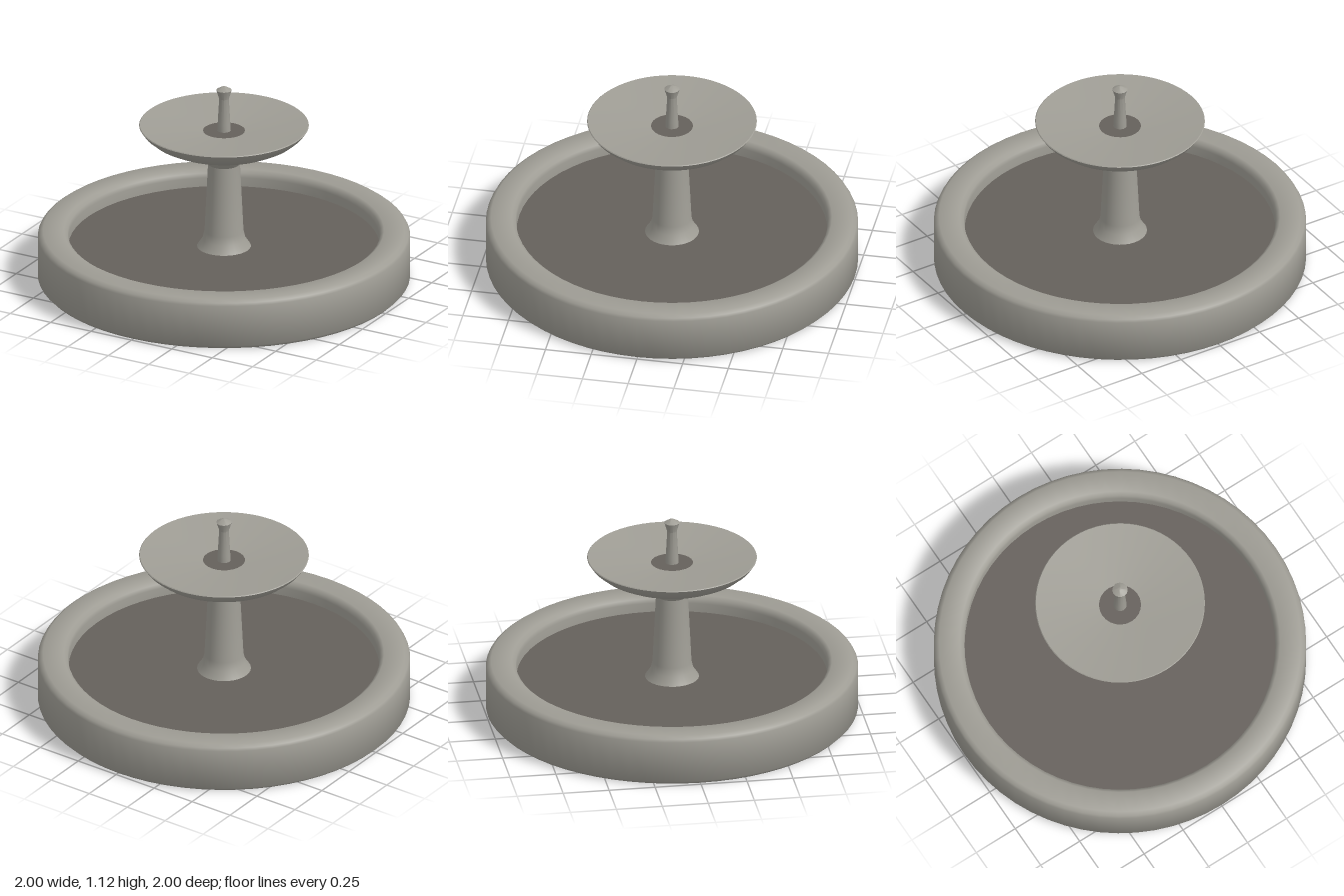
import * as THREE from 'three';
import { toCreasedNormals } from 'three/addons/utils/BufferGeometryUtils.js';

const SEGMENTS = 64;

// Turned part: [radius, height] pairs running from the bottom, up the outside and back inward
function turned(name, profile, material, crease = 0.9, segments = SEGMENTS) {
  const points = profile.map(([r, y]) => new THREE.Vector2(r, y));
  const geometry = toCreasedNormals(new THREE.LatheGeometry(points, segments), crease);
  const mesh = new THREE.Mesh(geometry, material);
  mesh.name = name;
  return mesh;
}

// Flat water surface facing up
function waterDisc(name, radius, y, material, segments) {
  const geometry = new THREE.CircleGeometry(radius, segments).rotateX(-Math.PI / 2);
  const mesh = new THREE.Mesh(geometry, material);
  mesh.position.y = y;
  mesh.name = name;
  return mesh;
}

export function createModel() {
  const stone = new THREE.MeshStandardMaterial({ color: 0x9f9d95 });
  stone.name = 'stone';
  const water = new THREE.MeshStandardMaterial({ color: 0x65605b });
  water.name = 'dark water';

  const fountain = new THREE.Group();
  fountain.name = 'fountain';

  // Round basin with softened rim and recessed underside
  fountain.add(turned('basin', [
    [0, 0.05], [0.84, 0.05], [0.84, 0], [0.98, 0], [1, 0.02], [1, 0.25],
    [0.992, 0.265], [0.972, 0.28], [0.86, 0.28], [0.84, 0.265], [0.835, 0.24],
    [0.835, 0.17], [0, 0.17],
  ], stone));
  fountain.add(waterDisc('basinWater', 0.836, 0.19, water, SEGMENTS));

  // Central column, flared at foot and neck
  fountain.add(turned('column', [
    [0.2, 0.051], [0.19, 0.12], [0.145, 0.19], [0.115, 0.235], [0.105, 0.28],
    [0.086, 0.67], [0.13, 0.73], [0, 0.73],
  ], stone, 0.6, 32));

  // Shallow upper bowl
  fountain.add(turned('upperBowl', [
    [0, 0.727], [0.13, 0.73], [0.25, 0.764], [0.34, 0.797], [0.395, 0.826],
    [0.435, 0.86], [0.456, 0.89], [0.452, 0.894], [0.3, 0.876], [0.11, 0.858], [0, 0.85],
  ], stone));
  fountain.add(waterDisc('bowlWater', 0.113, 0.86, water, 24));

  // Spout with a pointed cap
  fountain.add(turned('spout', [
    [0.037, 0.85], [0.034, 0.9], [0.026, 1.045], [0.042, 1.095], [0.012, 1.113], [0, 1.117],
  ], stone, 0.6, 12));

  return fountain;
}
